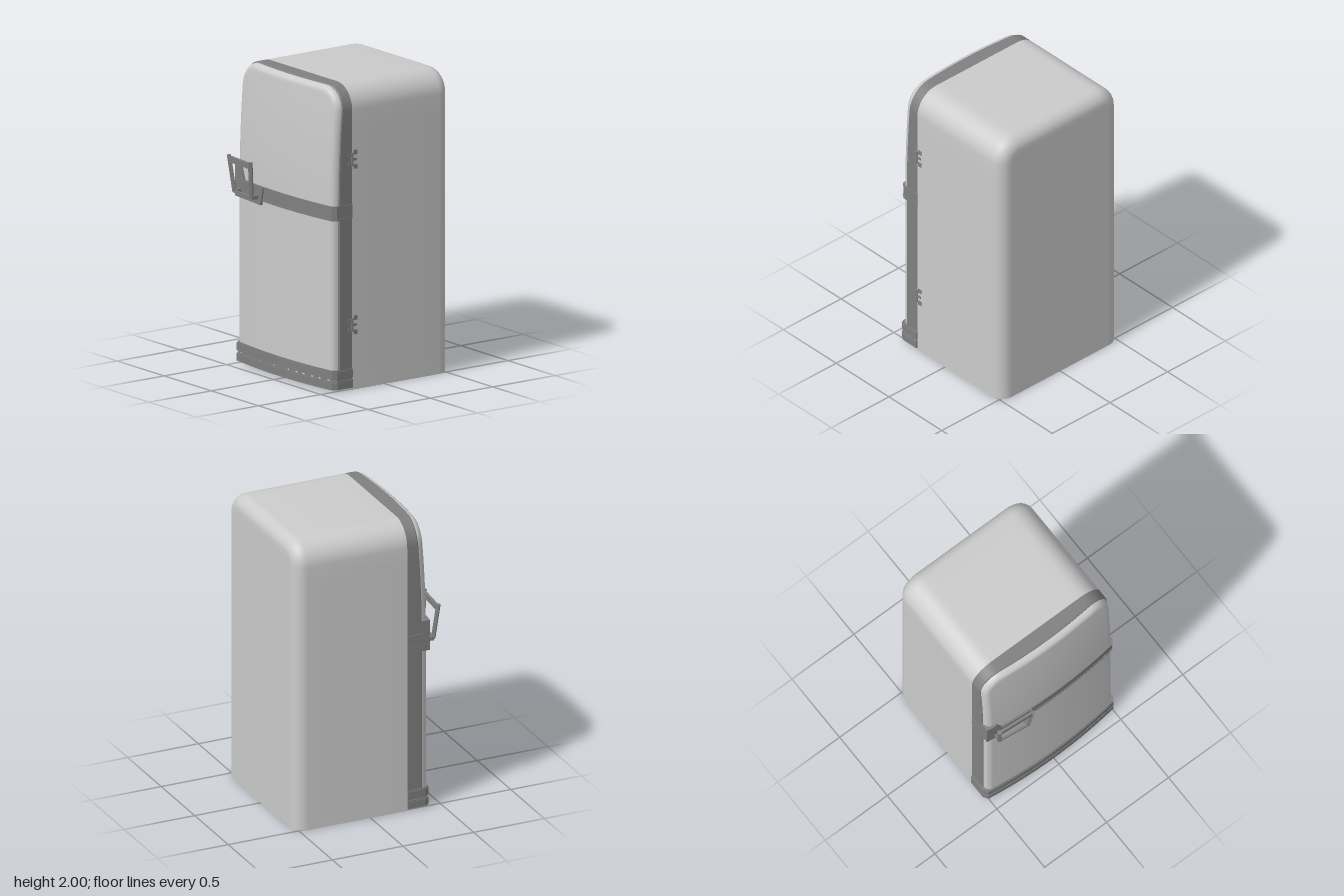
import * as THREE from 'three';
import { toCreasedNormals } from 'three/addons/utils/BufferGeometryUtils.js';

const enamel = new THREE.MeshStandardMaterial({ color: 0xcccccc, side: THREE.DoubleSide });
const trim = new THREE.MeshStandardMaterial({ color: 0x808080, side: THREE.DoubleSide });

const W = 0.515, TOP = 2, R = 0.16, BACK = -0.53, JOINT = 0.26;

// Bowed face of the door: curved across, leaning back towards the top
const face = (x, y) => 0.442 - 0.14 * x * x - 0.062 * Math.max(0, (y - 1.2)) ** 2;

// Arch outline from the bottom +x corner, over the top, to the bottom -x corner
function arch(d, y0 = 0, closed = false) {
  const w = W - d, top = TOP - d, r = Math.max(R - d, 0.02), pts = [];
  const line = (x1, y1, x2, y2, n) => {
    for (let i = 0; i < n; i++) pts.push([x1 + (x2 - x1) * i / n, y1 + (y2 - y1) * i / n]);
  };
  const corner = (cx, a0) => {
    for (let i = 0; i < 10; i++) {
      const a = a0 + i / 10 * Math.PI / 2;
      pts.push([cx + r * Math.cos(a), top - r + r * Math.sin(a)]);
    }
  };
  line(w, y0, w, top - r, 16);
  corner(w - r, 0);
  line(w - r, top, r - w, top, 12);
  corner(r - w, Math.PI / 2);
  line(-w, top - r, -w, y0, 16);
  pts.push([-w, y0]);
  if (closed) line(-w, y0, w, y0, 12), pts.push([w, y0]);
  return pts;
}

// Skin over rings of equal point count, ordered back to front
function loft(rings) {
  const n = rings[0].length, index = [];
  for (let i = 0; i < rings.length - 1; i++)
    for (let j = 0; j < n - 1; j++) {
      const a = i * n + j, d = a + n;
      index.push(a, a + 1, d + 1, a, d + 1, d);
    }
  const g = new THREE.BufferGeometry();
  g.setAttribute('position', new THREE.Float32BufferAttribute(rings.flat(2), 3));
  g.setIndex(index);
  return toCreasedNormals(g, 0.6);
}

function createModel() {
  const model = new THREE.Group();
  const add = (name, geo, mat, parent = model) => {
    const m = new THREE.Mesh(geo, mat);
    m.name = name;
    parent.add(m);
    return m;
  };
  const group = (name) => {
    const g = new THREE.Group();
    g.name = name;
    model.add(g);
    return g;
  };
  const box = (name, w, h, d, x, y, z, mat, parent) =>
    add(name, new THREE.BoxGeometry(w, h, d), mat, parent).position.set(x, y, z);

  // Cabinet shell, open underneath
  const shell = [];
  const backR = 0.09;
  for (const s of [0, 0.5, 0.98, 1])
    shell.push(arch(backR).map(([x, y]) => [x * s, y * s, BACK]));
  for (let i = 1; i <= 8; i++) {
    const a = i / 8 * Math.PI / 2;
    shell.push(arch(backR * (1 - Math.sin(a))).map(([x, y]) => [x, y, BACK + backR * (1 - Math.cos(a))]));
  }
  shell.push(arch(0).map(([x, y]) => [x, y, JOINT]));
  add('cabinet', loft(shell), enamel);

  // Raised floor of the compartment, seen from underneath
  box('cabinetFloor', 1.0, 0.02, 0.68, 0, 0.41, -0.09, trim);
  box('floorLip', 1.0, 0.1, 0.02, 0, 0.35, 0.24, trim);

  // Dark door frame
  const Y0 = 0.02;
  const frame = [0, 1].map((s) =>
    arch(0, Y0, true).map(([x, y]) => [x * s, 1 + (y - 1) * s, JOINT]));
  for (const [d, back] of [[0, 0.045], [0.005, 0.04], [0.03, 0.04]])
    frame.push(arch(d, Y0, true).map(([x, y]) => [x, y, face(x, y) - back]));
  add('doorFrame', loft(frame), trim);

  // Door skin with a rounded rim and a bowed face
  const skin = [];
  for (let i = 0; i <= 6; i++) {
    const a = i / 6 * Math.PI / 2;
    skin.push(arch(0.008 + 0.035 * (1 - Math.cos(a)), Y0, true)
      .map(([x, y]) => [x, y, face(x, y) - 0.042 + 0.042 * Math.sin(a)]));
  }
  for (const s of [0.98, 0.85, 0.7, 0.55, 0.4, 0.25, 0.1, 0])
    skin.push(arch(0.043, Y0, true).map(([x, y]) => {
      const px = x * s, py = 1.1 + (y - 1.1) * s;
      return [px, py, face(px, py)];
    }));
  add('doorPanel', loft(skin), enamel);

  // Bowed bands that wrap the front, given half width, height range and overhang
  const band = (name, w, y1, y2, out, parent) => {
    const pts = [[-w, JOINT], [-w, 0.385]];
    for (let i = 0; i <= 20; i++) {
      const x = (w - 0.02) * (i / 10 - 1);
      pts.push([x, face(x, 0) + out]);
    }
    pts.push([w, 0.385], [w, JOINT]);
    const g = new THREE.ExtrudeGeometry(new THREE.Shape(pts.map((p) => new THREE.Vector2(...p))),
      { depth: y2 - y1, bevelEnabled: false });
    g.rotateX(Math.PI / 2).translate(0, y2, 0);
    add(name, toCreasedNormals(g, 0.5), trim, parent);
  };
  const belt = group('belt');
  band('beltBand', 0.517, 1.14, 1.21, 0.004, belt);
  band('beltLowerRim', 0.52, 1.127, 1.14, 0.008, belt);
  band('beltUpperRim', 0.52, 1.21, 1.223, 0.008, belt);
  const base = group('base');
  band('basePlinth', 0.525, 0.015, 0.062, 0.01, base);
  band('basePlinthCap', 0.522, 0.062, 0.07, 0.006, base);
  band('baseRecess', 0.515, 0.07, 0.083, 0, base);
  band('baseRail', 0.525, 0.083, 0.133, 0.01, base);
  band('baseRailCap', 0.52, 0.133, 0.142, 0.006, base);

  // Latch plate, bent to follow the door
  const latch = group('latch');
  const plate = new THREE.Shape([[-0.518, 1.1], [-0.205, 1.1], [-0.18, 1.22], [-0.405, 1.22],
    [-0.445, 1.31], [-0.518, 1.31]].map((p) => new THREE.Vector2(...p)));
  const plateGeo = new THREE.ExtrudeGeometry(plate, { depth: 0.06, bevelEnabled: false });
  const pos = plateGeo.attributes.position;
  for (let i = 0; i < pos.count; i++)
    pos.setZ(i, pos.getZ(i) + face(pos.getX(i), 1.1) - 0.045);
  plateGeo.computeVertexNormals();
  add('latchPlate', plateGeo, trim, latch);

  // Handle: two stems, two uprights, top grip and lower bar
  const bar = (name, p, q, w, h) => {
    const a = new THREE.Vector3(...p), b = new THREE.Vector3(...q);
    const m = add(name, new THREE.BoxGeometry(w, h, a.distanceTo(b)), trim, latch);
    m.position.copy(a).add(b).multiplyScalar(0.5);
    m.lookAt(b);
  };
  const lowL = [-0.455, 1.148, 0.472], lowR = [-0.242, 1.148, 0.496];
  const topL = [-0.478, 1.388, 0.498], topR = [-0.225, 1.388, 0.518];
  bar('handleStem', [-0.45, 1.148, 0.4], lowL, 0.024, 0.024);
  bar('handleStem', [-0.242, 1.148, 0.42], lowR, 0.024, 0.024);
  bar('handleUpright', lowL, topL, 0.024, 0.024);
  bar('handleUpright', lowR, topR, 0.024, 0.024);
  bar('handleLowerBar', lowL, lowR, 0.016, 0.016);
  bar('handleGrip', [-0.476, 1.362, 0.495], [-0.227, 1.362, 0.515], 0.018, 0.038);

  // Hinges on the +x side
  for (const y of [1.515, 0.425]) {
    const hinge = group('hinge');
    add('hingeBarrel', new THREE.CylinderGeometry(0.009, 0.009, 0.09, 10), trim, hinge)
      .position.set(0.515, y, 0.262);
    for (const s of [-1, 1]) {
      box('cabinetLeaf', 0.012, 0.03, 0.026, 0.514, y + s * 0.047, 0.236, trim, hinge);
      box('doorLeaf', 0.012, 0.022, 0.03, 0.514, y + s * 0.03, 0.28, trim, hinge);
    }
    box('hingeBridge', 0.012, 0.016, 0.05, 0.514, y, 0.25, trim, hinge);
  }
  return model;
}

export { createModel };
